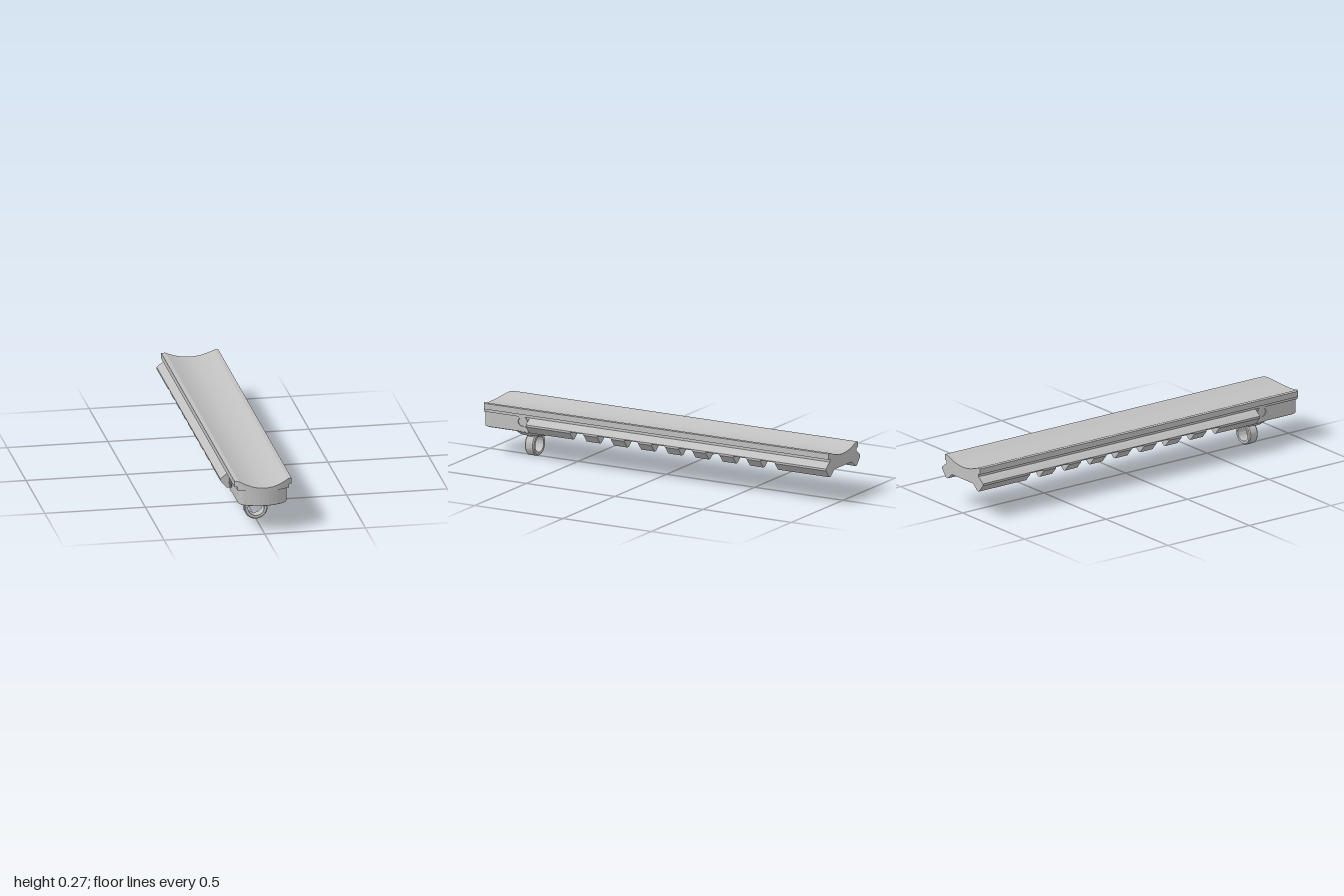
import * as THREE from 'three';
import { toCreasedNormals } from 'three/addons/utils/BufferGeometryUtils.js';

const silver = new THREE.MeshStandardMaterial({ color: 0xc0c0c0 });
silver.name = 'silver metal';

// Mirror a right-half outline and extrude it along z
function extrudeProfile(half, z0, z1) {
  const pts = [...half, ...half.filter(p => p[0] > 0).reverse().map(([x, y]) => [-x, y])];
  const shape = new THREE.Shape(pts.map(p => new THREE.Vector2(p[0], p[1])));
  const g = new THREE.ExtrudeGeometry(shape, { depth: z1 - z0, bevelEnabled: false });
  return g.translate(0, 0, z0);
}

// Full-length slab with a bowed front end and a top height given by a rule
function bowedSlab(halfWidth, bottom, topAt) {
  const g = new THREE.BoxGeometry(2 * halfWidth, 1, 2, 14, 1, 1).toNonIndexed();
  const p = g.attributes.position;
  for (let i = 0; i < p.count; i++) {
    const x = p.getX(i);
    p.setY(i, p.getY(i) > 0 ? topAt(Math.abs(x)) : bottom);
    if (p.getZ(i) > 0) p.setZ(i, 0.95 + 0.05 * (1 - (x / 0.142) ** 2));
  }
  return toCreasedNormals(g, 0.3);
}

const ringGeometry = (points, segments) =>
  toCreasedNormals(new THREE.LatheGeometry(points.map(p => new THREE.Vector2(...p)), segments), 0.5);

export function createModel() {
  const model = new THREE.Group();
  const add = (name, geometry, x = 0, y = 0, z = 0, parent = model) => {
    const m = new THREE.Mesh(geometry, silver);
    m.name = name;
    m.position.set(x, y, z);
    parent.add(m);
    return m;
  };

  // Concave cradle plate above a narrower neck
  add('cradlePlate', bowedSlab(0.142, 0.237, x => Math.min(0.266, 0.238 + 0.028 * (x / 0.12) ** 2)));
  add('cradleNeck', bowedSlab(0.128, 0.221, () => 0.237));

  // Rail with a continuous upper body and ribs between cross slots
  const body = [[0, 0.23], [0.122, 0.23], [0.128, 0.222], [0.142, 0.213], [0.165, 0.195],
    [0.165, 0.19], [0.09, 0.19], [0.072, 0.2], [0, 0.2]];
  add('railBody', extrudeProfile(body, -1, 0.7));
  const rib = [[0, 0.205], [0.12, 0.205], [0.165, 0.192], [0.165, 0.185], [0.133, 0.147],
    [0.12, 0.147], [0.085, 0.176], [0, 0.176]];
  add('frontRail', extrudeProfile(rib, 0.45, 0.7));
  add('rearRail', extrudeProfile(rib, -1, -0.71));
  for (let i = 0; i < 7; i++) {
    const z = 0.335 - 0.154 * i;
    add('railRib', extrudeProfile(rib, z - 0.038, z + 0.038));
  }

  // Rounded nose block
  const b = 0.008;
  const plan = new THREE.Shape();
  plan.moveTo(-0.12 + b, 0.69);
  plan.lineTo(-0.12 + b, 0.925);
  plan.quadraticCurveTo(-0.12 + b, 0.955, -0.085, 0.966);
  plan.quadraticCurveTo(0, 1.01, 0.085, 0.966);
  plan.quadraticCurveTo(0.12 - b, 0.955, 0.12 - b, 0.925);
  plan.lineTo(0.12 - b, 0.69);
  const nose = new THREE.ExtrudeGeometry(plan, {
    depth: 0.084 - b, bevelThickness: b / 2, bevelSize: b, bevelSegments: 1, curveSegments: 8,
  });
  add('noseBlock', nose.rotateX(Math.PI / 2), 0, 0.226 - b / 2, 0);

  // Round swivel base with a tapered lower edge
  const cz = 0.73, rz = 0.745;
  add('swivelBase', new THREE.CylinderGeometry(0.12, 0.12, 0.06, 40), 0, 0.172, cz);
  add('swivelBaseTaper', new THREE.CylinderGeometry(0.12, 0.094, 0.02, 40), 0, 0.132, cz);

  // Side sockets
  const socket = ringGeometry([
    [0.02, -0.004], [0.03, -0.004], [0.03, 0.004], [0.022, 0.004], [0.022, -0.004],
  ], 28);
  for (const s of [-1, 1]) {
    add('sideSocket', socket, s * 0.121, 0.195, rz).rotation.z = -s * Math.PI / 2;
  }

  // Swivel loop and its collar
  add('swivelCollar', new THREE.CylinderGeometry(0.042, 0.042, 0.022, 32), 0, 0.114, rz);
  const loop = ringGeometry([[0.04, -0.026], [0.053, -0.026], [0.058, -0.02], [0.058, 0.02],
    [0.053, 0.026], [0.04, 0.026], [0.04, -0.026]], 48);
  add('swivelLoop', loop.rotateX(Math.PI / 2), 0, 0.059, rz);

  // Slotted screws underneath
  const halfHead = new THREE.Shape();
  halfHead.absarc(0, 0, 0.036, 0.12, Math.PI - 0.12, false);
  halfHead.closePath();
  const headGeo = new THREE.ExtrudeGeometry(halfHead, { depth: 0.012, bevelEnabled: false, curveSegments: 16 });
  headGeo.rotateX(Math.PI / 2);
  for (const [y, z] of [[0.185, 0.32], [0.185, -0.275], [0.185, -0.82], [0.151, 0.9]]) {
    const screw = new THREE.Group();
    screw.name = 'slottedScrew';
    screw.position.set(0, y, z);
    screw.rotation.y = 0.5;
    model.add(screw);
    add('screwCore', new THREE.CylinderGeometry(0.035, 0.035, 0.03, 24), 0, 0.009, 0, screw);
    for (const a of [0, Math.PI]) add('screwHeadHalf', headGeo, 0, 0, 0, screw).rotation.y = a;
  }
  return model;
}
